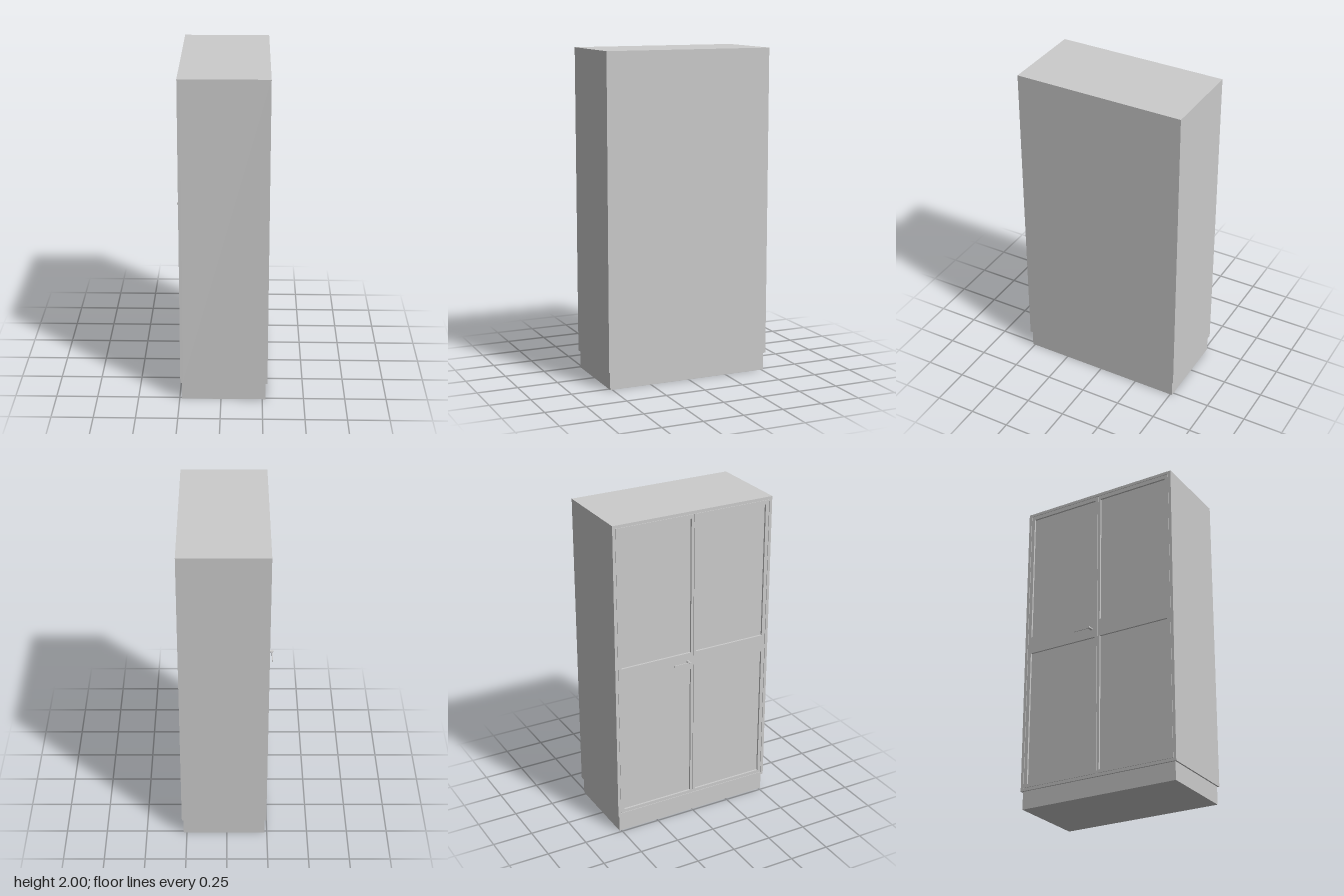
import * as THREE from 'three';

const mat = new THREE.MeshStandardMaterial({ color: 0xcccccc });

function add(group, name, geometry, x = 0, y = 0, z = 0) {
  const mesh = new THREE.Mesh(geometry, mat);
  mesh.name = name;
  mesh.position.set(x, y, z);
  group.add(mesh);
  return mesh;
}

// Box given by its min and max corners
function addBox(group, name, [x0, y0, z0], [x1, y1, z1]) {
  return add(group, name, new THREE.BoxGeometry(x1 - x0, y1 - y0, z1 - z0),
    (x0 + x1) / 2, (y0 + y1) / 2, (z0 + z1) / 2);
}

// Rectangle outline as [z0, z1, y0, y1]
function trace(path, [z0, z1, y0, y1]) {
  path.moveTo(z0, y0);
  path.lineTo(z1, y0);
  path.lineTo(z1, y1);
  path.lineTo(z0, y1);
  path.closePath();
  return path;
}

// Flat frame with rectangular openings, extruded toward -x
function frame(outer, holes, depth) {
  const shape = trace(new THREE.Shape(), outer);
  shape.holes = holes.map(h => trace(new THREE.Path(), h));
  return new THREE.ExtrudeGeometry(shape, { depth, bevelEnabled: false }).rotateY(-Math.PI / 2);
}

export function createModel() {
  const cabinet = new THREE.Group();
  cabinet.name = 'cabinet';
  const back = 0.28, face = -0.245, inner = -0.23;

  // Plinth and carcass
  addBox(cabinet, 'plinth', [-0.235, 0, -0.513], [0.27, 0.11, 0.513]);
  addBox(cabinet, 'carcass', [inner, 0.11, -0.523], [back, 2, 0.523]);
  const opening = [-0.505, 0.505, 0.128, 1.982];
  add(cabinet, 'doorSurround',
    frame([-0.523, 0.523, 0.11, 2], [opening], inner - face), inner);

  // Pair of doors, each with two recessed panels
  for (const side of [-1, 1]) {
    const door = new THREE.Group();
    door.name = side < 0 ? 'rearDoor' : 'frontDoor';
    cabinet.add(door);
    const span = (a, b) => side > 0 ? [a, b] : [-b, -a];
    const panels = [[0.15, 1.0], [1.11, 1.955]].map(y => [...span(0.018, 0.481), ...y]);
    add(door, 'doorFrame',
      frame([...span(0.0015, 0.503), 0.13, 1.98], panels, 0.014), inner);
    for (const [z0, z1, y0, y1] of panels) {
      addBox(door, 'doorPanel', [inner - 0.002, y0, z0], [inner, y1, z1]);
    }
  }

  // Handle: round spindle with a thin lever
  const handle = new THREE.Group();
  handle.name = 'handle';
  cabinet.add(handle);
  add(handle, 'spindle',
    new THREE.CylinderGeometry(0.008, 0.008, 0.043, 20).rotateZ(Math.PI / 2), -0.2615, 1.057, -0.041);
  addBox(handle, 'lever', [-0.278, 1.05, -0.145], [-0.273, 1.064, -0.034]);

  return cabinet;
}
